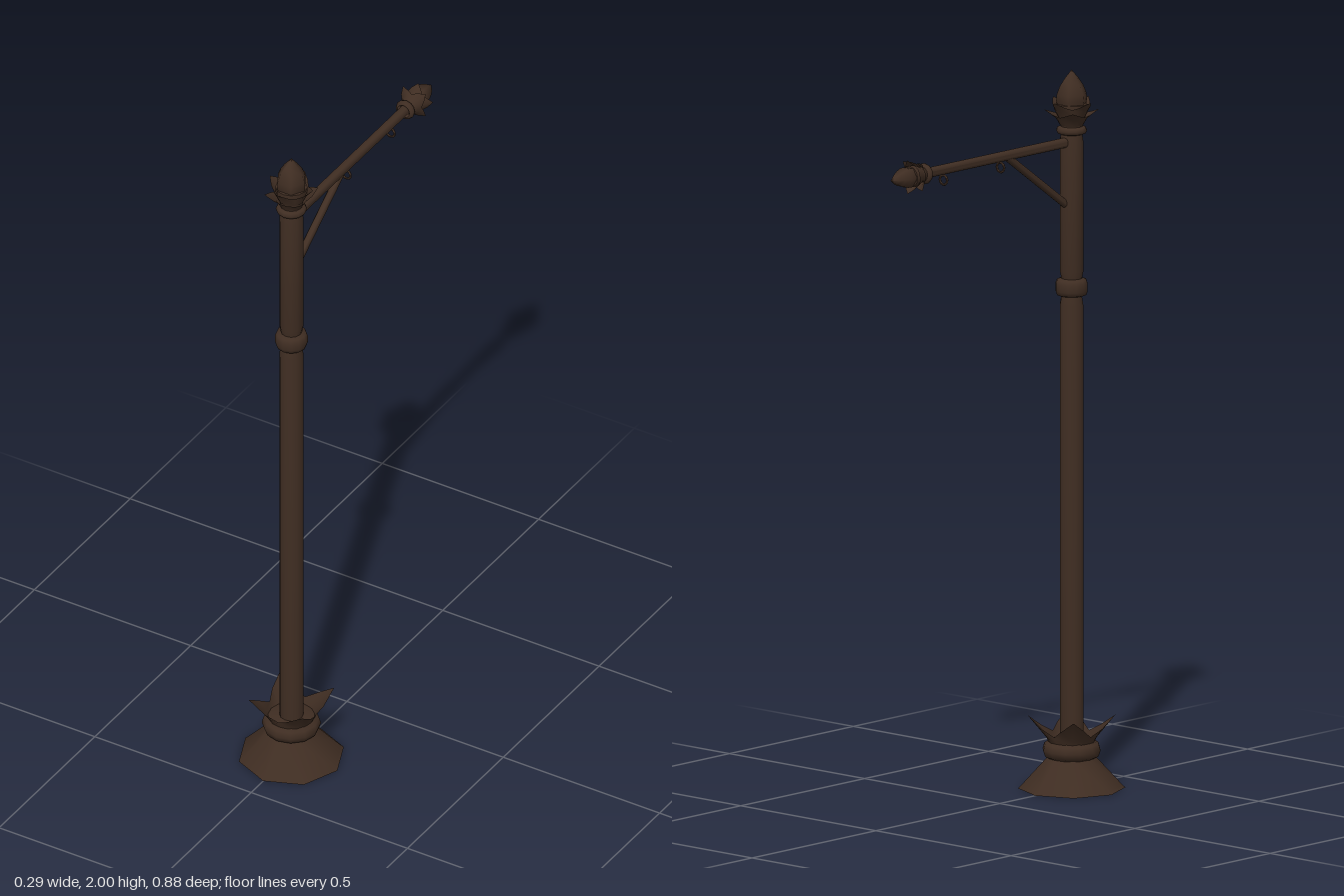
import * as THREE from 'three';
import { toCreasedNormals } from 'three/addons/utils/BufferGeometryUtils.js';

const iron = new THREE.MeshStandardMaterial({ color: 0x3f2d22, side: THREE.DoubleSide });
iron.name = 'dark bronze';

const POST_Z = 0.29;
const ARM_Y = 1.8;

function add(parent, name, geometry, crease = 0.7) {
  const mesh = new THREE.Mesh(toCreasedNormals(geometry, crease), iron);
  mesh.name = name;
  parent.add(mesh);
  return mesh;
}

// Turned part from [radius, height] pairs, listed from bottom to top
function turned(profile, sides, phase = 0) {
  return new THREE.LatheGeometry(profile.map(([r, y]) => new THREE.Vector2(r, y)), sides, phase);
}

// Flared cup whose rim rises and falls into four pointed leaves
function leafCrown(foot, mid, valley, tip, phase) {
  const sides = 16;
  const g = turned([foot, mid, valley], sides, phase);
  const p = g.attributes.position;
  for (let s = 0; s <= sides; s++) {
    const k = s % 4;
    const w = Math.pow(1 - Math.min(k, 4 - k) / 2, 1.4);
    const a = phase + (s / sides) * Math.PI * 2;
    const r = THREE.MathUtils.lerp(valley[0], tip[0], w);
    const y = THREE.MathUtils.lerp(valley[1], tip[1], w);
    p.setXYZ(s * 3 + 2, Math.sin(a) * r, y, Math.cos(a) * r);
  }
  return g;
}

// Round rod between two points
function rod(parent, name, from, to, radius) {
  const dir = to.clone().sub(from);
  const mesh = add(parent, name, new THREE.CylinderGeometry(radius, radius, dir.length(), 10));
  mesh.position.copy(from).add(to).multiplyScalar(0.5);
  mesh.quaternion.setFromUnitVectors(new THREE.Vector3(0, 1, 0), dir.normalize());
}

// Bud with two rows of leaves on a collar, starting at y = 0 and 0.18 tall
function finial(name) {
  const g = new THREE.Group();
  g.name = name;
  add(g, 'finialCollar', turned([[0.028, 0], [0.039, 0.004], [0.043, 0.012], [0.039, 0.02], [0.028, 0.024]], 12), 1.2);
  add(g, 'finialCup', turned([[0.03, 0.02], [0.033, 0.04], [0.044, 0.07], [0.044, 0.085], [0, 0.09]], 12));
  add(g, 'lowerLeaves', leafCrown([0.032, 0.026], [0.043, 0.046], [0.047, 0.052], [0.076, 0.07], Math.PI / 4));
  add(g, 'upperLeaves', leafCrown([0.036, 0.045], [0.047, 0.07], [0.048, 0.076], [0.069, 0.096], 0));
  add(g, 'finialBud', turned([[0.038, 0.07], [0.044, 0.095], [0.043, 0.112], [0.034, 0.135], [0.02, 0.156], [0, 0.18]], 6, Math.PI / 2), 1.2);
  return g;
}

export function createModel() {
  const model = new THREE.Group();
  model.name = 'lampPost';

  // Upright column with its foot, collars and finial
  const post = new THREE.Group();
  post.name = 'post';
  post.position.z = POST_Z;
  model.add(post);

  add(post, 'foot', turned([[0, 0], [0.147, 0], [0.14, 0.006], [0.065, 0.088], [0, 0.09]], 8));
  add(post, 'footCollar', turned([[0.062, 0.083], [0.075, 0.09], [0.081, 0.107], [0.076, 0.124], [0.06, 0.133], [0.033, 0.135]], 12), 1.1);
  add(post, 'footLeaves', leafCrown([0.062, 0.125], [0.068, 0.14], [0.07, 0.15], [0.12, 0.203], Math.PI / 4));
  add(post, 'lowerShaft', turned([[0.033, 0.12], [0.033, 1.345], [0.028, 1.375]], 12));
  add(post, 'shaftCollar', turned([[0.028, 1.37], [0.041, 1.374], [0.045, 1.385], [0.045, 1.405], [0.041, 1.416], [0.028, 1.42]], 12), 1.1);
  add(post, 'upperShaft', turned([[0.028, 1.415], [0.033, 1.44], [0.033, 1.8], [0.029, 1.83]], 12));

  const postFinial = finial('postFinial');
  postFinial.position.y = 1.82;
  post.add(postFinial);

  // Horizontal arm with its brace and end finial
  const arm = new THREE.Group();
  arm.name = 'arm';
  model.add(arm);
  rod(arm, 'armBar', new THREE.Vector3(0, ARM_Y, POST_Z), new THREE.Vector3(0, ARM_Y, -0.31), 0.0145);
  rod(arm, 'brace', new THREE.Vector3(0, 1.618, 0.28), new THREE.Vector3(0, 1.795, 0.03), 0.011);

  const armFinial = finial('armFinial');
  armFinial.scale.set(0.68, 0.81, 0.68);
  armFinial.rotation.x = -Math.PI / 2;
  armFinial.position.set(0, ARM_Y, -0.295);
  arm.add(armFinial);

  // Hanging rings under the arm
  for (const z of [0.003, -0.227]) {
    const ring = add(arm, 'hangingRing', new THREE.TorusGeometry(0.0135, 0.0035, 6, 14), 1.2);
    ring.position.set(0, 1.771, z);
  }
  return model;
}
